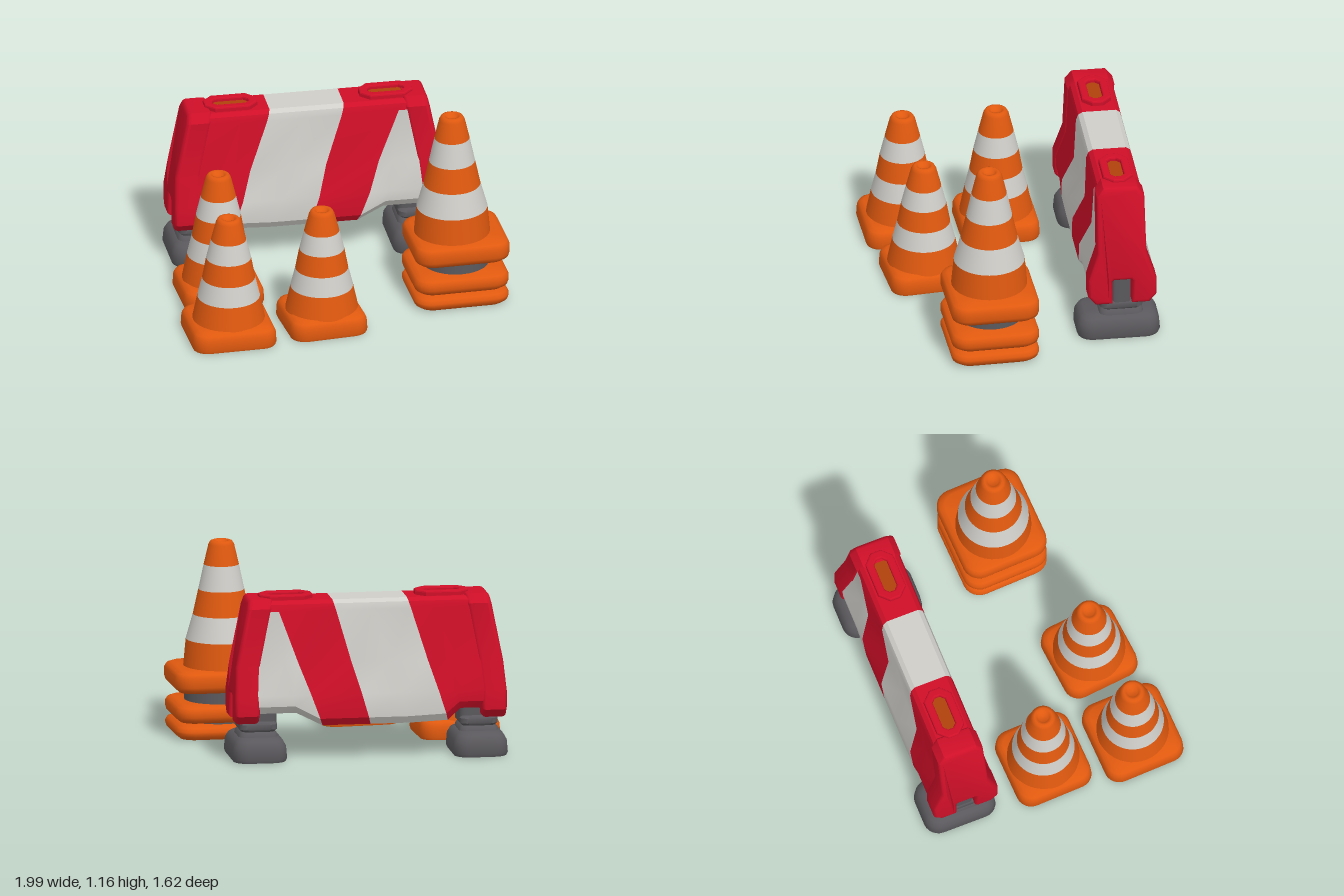
import * as THREE from 'three';
import { toCreasedNormals } from 'three/addons/utils/BufferGeometryUtils.js';

const paint = (name, color) => {
  const m = new THREE.MeshStandardMaterial({ color });
  m.name = name;
  return m;
};

function fromTriangles(tris, crease = 0.6) {
  const g = new THREE.BufferGeometry();
  g.setAttribute('position', new THREE.Float32BufferAttribute(tris.flat(2), 3));
  return toCreasedNormals(g, crease);
}

// Rounded rectangular block; levels are [height, inset] from bottom to top
function slab(w, d, r, levels) {
  const loops = levels.map(([y, inset]) => {
    const loop = [];
    const rr = Math.max(r - inset * 0.5, 0.01);
    for (let c = 0; c < 4; c++) {
      const sx = c === 0 || c === 3 ? 1 : -1, sz = c < 2 ? -1 : 1;
      for (let k = 0; k <= 6; k++) {
        const a = (c + k / 6) * Math.PI / 2;
        loop.push([
          sx * (w / 2 - inset - rr) + rr * Math.cos(a), y,
          sz * (d / 2 - inset - rr) - rr * Math.sin(a)]);
      }
    }
    return loop;
  });
  const tris = [], n = loops[0].length, top = loops.at(-1), low = loops[0];
  for (let i = 0; i < n; i++) {
    const j = (i + 1) % n;
    for (let l = 0; l + 1 < loops.length; l++) {
      const p = loops[l], q = loops[l + 1];
      tris.push([p[i], p[j], q[j]], [p[i], q[j], q[i]]);
    }
    tris.push([[0, top[0][1], 0], top[i], top[j]], [[0, low[0][1], 0], low[j], low[i]]);
  }
  return fromTriangles(tris, 0.8);
}

export function createModel() {
  const orange = paint('orange', 0xe0590f);
  const white = paint('offWhite', 0xd0cec9);
  const red = paint('red', 0xcf0f28);
  const grey = paint('darkGrey', 0x5a585c);
  const rust = paint('rustOrange', 0xb0420c);

  const model = new THREE.Group();
  const add = (parent, name, geometry, material, x = 0, y = 0, z = 0) => {
    const mesh = new THREE.Mesh(geometry, material);
    mesh.name = name;
    mesh.position.set(x, y, z);
    parent.add(mesh);
    return mesh;
  };
  const group = (name, x, z, turn = 0) => {
    const g = new THREE.Group();
    g.name = name;
    g.position.set(x, 0, z);
    g.rotation.y = turn;
    model.add(g);
    return g;
  };

  // Striped cone: rings are [radius, height] at each colour change
  function coneBody(parent, rings, x = 0) {
    for (let i = 0; i + 1 < rings.length; i++) {
      const [r0, y0] = rings[i], [r1, y1] = rings[i + 1];
      let pts = [[r0, y0], [r1, y1]];
      if (i === rings.length - 2) { // rounded tip with a dimple
        pts = [[r0, y0], [r1 + 0.003, y1 - 0.025], [r1 - 0.008, y1 - 0.005], [r1 - 0.02, y1],
          [0.038, y1 - 0.003], [0.028, y1 - 0.02], [0, y1 - 0.022]];
      }
      const geo = new THREE.LatheGeometry(pts.map(p => new THREE.Vector2(...p)), 40);
      add(parent, 'coneBand' + (i + 1), geo, i % 2 ? white : orange, x);
    }
  }

  // Single cones: x, z, width, depth, height, turn
  [[-0.685, -0.005, 0.49, 0.475, 0.79, 0], [-0.745, 0.55, 0.51, 0.5, 0.77, 0],
    [-0.17, 0.52, 0.475, 0.475, 0.75, 0.06]].forEach(([x, z, w, d, h, turn], i) => {
    const cone = group('trafficCone' + (i + 1), x, z, turn);
    add(cone, 'coneBase', slab(w, d, 0.09,
      [[0, 0.005], [0.015, 0], [0.08, 0.004], [0.105, 0.016], [0.118, 0.04]]), orange);
    const k = h / 0.77;
    coneBody(cone, [[0.22, 0.1], [0.187, 0.26 * k], [0.158, 0.38 * k],
      [0.134, 0.51 * k], [0.105, 0.63 * k], [0.073, h]]);
  });

  // Stacked cones
  const stack = group('stackedCones', 0.7, 0.27);
  [[0, 0.085, 0], [0.1, 0.205, 0], [0.28, 0.41, 0.005]].forEach(([y0, y1, x], i) => {
    add(stack, 'stackBase' + (i + 1), slab(0.575, 0.53, 0.1,
      [[y0, 0.03], [y0 + 0.02, 0.006], [y0 + 0.04, 0], [y1 - 0.035, 0], [y1 - 0.012, 0.012],
        [y1, 0.04]]), orange, x);
  });
  add(stack, 'stackCore', new THREE.CylinderGeometry(0.2, 0.205, 0.24, 32), grey, 0, 0.18);
  coneBody(stack, [[0.228, 0.4], [0.212, 0.57], [0.17, 0.72], [0.137, 0.87],
    [0.105, 1.02], [0.074, 1.165]], -0.02);

  // Barrier body: slanted cross-sections, one at each stripe boundary
  const barrier = group('barrier', -0.04, -0.55, -0.035);
  const section = (xb, xt, yb, waist) => {
    const half = [[0.165, yb], [0.197, yb + 0.045], [0.2, 0.4], [0.14 * waist, 0.58],
      [0.137, 0.9], [0.125, 0.94], [0.1, 0.96]];
    const loop = [...half, ...half.map(([z, y]) => [-z, y]).reverse()];
    return loop.map(([z, y]) => [xb + (xt - xb) * (y - 0.21) / 0.75, y, z]);
  };
  // bottom x, top x, underside height, waist, colour of the stretch that follows
  const cuts = [[-0.74, -0.66, 0.29, 1, red], [-0.56, -0.4, 0.29, 1, red],
    [-0.47, -0.23, 0.22, 0.97, white], [-0.24, 0, 0.21, 0.9, white], [0, 0.22, 0.21, 0.95, red],
    [0.29, 0.57, 0.21, 0.97, white], [0.43, 0.6, 0.29, 1, white], [0.7, 0.66, 0.29, 1, red]];
  const skin = new Map([[red, []], [white, []]]);
  for (let i = 0; i + 1 < cuts.length; i++) {
    const p = section(...cuts[i]), q = section(...cuts[i + 1]);
    for (let j = 0; j < p.length; j++) {
      const k = (j + 1) % p.length;
      const redRim = i >= 5 && j >= 4 && j <= 8;
      skin.get(redRim ? red : cuts[i][4]).push([p[j], q[j], q[k]], [p[j], q[k], p[k]]);
    }
  }
  add(barrier, 'barrierRedStripes', fromTriangles(skin.get(red), 0.5), red);
  add(barrier, 'barrierWhiteStripes', fromTriangles(skin.get(white), 0.5), white);

  // Notched end caps, leaning inward above the flare
  const right = [[0.083, 0.255], [0.15, 0.255], [0.18, 0.29], [0.18, 0.39],
    [0.122, 0.565], [0.118, 0.91], [0.09, 0.948]];
  const outline = [[0.083, 0.39], ...right, ...right.map(([z, y]) => [-z, y]).reverse(),
    [-0.083, 0.39], [-0.06, 0.415], [0.06, 0.415]];
  const capShape = new THREE.Shape(outline.map(p => new THREE.Vector2(...p)));
  const capBase = new THREE.ExtrudeGeometry(capShape, {
    depth: 0.1, bevelEnabled: true, bevelThickness: 0.025, bevelSize: 0.025, bevelSegments: 3 });
  capBase.translate(0, 0, 0.695);
  const pos = capBase.attributes.position;
  for (let i = 0; i < pos.count; i++) {
    pos.setZ(i, pos.getZ(i) - Math.max(0, pos.getY(i) - 0.5) * 0.2);
  }
  const capGeo = toCreasedNormals(capBase, 0.6);
  for (const side of [1, -1]) {
    add(barrier, side > 0 ? 'leftEndCap' : 'rightEndCap', capGeo, red)
      .rotation.y = side * Math.PI / 2;
  }

  // Raised lifting slots on top
  const octagon = (Type, w, d, c) => new Type([[w, -d + c], [w, d - c], [w - c, d], [-w + c, d],
    [-w, d - c], [-w, -d + c], [-w + c, -d], [w - c, -d]].map(p => new THREE.Vector2(...p)));
  const rim = octagon(THREE.Shape, 0.15, 0.078, 0.05);
  rim.holes.push(octagon(THREE.Path, 0.118, 0.05, 0.03));
  const rimGeo = new THREE.ExtrudeGeometry(rim, {
    depth: 0.035, bevelEnabled: true, bevelThickness: 0.01, bevelSize: 0.01, bevelSegments: 2 });
  rimGeo.rotateX(-Math.PI / 2);
  for (const x of [-0.45, 0.49]) {
    add(barrier, 'slotRim', rimGeo, red, x, 0.945, 0);
    add(barrier, 'slotFloor', new THREE.BoxGeometry(0.24, 0.008, 0.1), rust, x, 0.962, 0);
  }

  // Weighted feet: x, z, depth
  [[0.665, 0.017, 0.5], [-0.665, -0.017, 0.45]].forEach(([x, z, d], i) => {
    const name = i ? 'rightFoot' : 'leftFoot';
    add(barrier, name, slab(0.33, d, 0.09,
      [[0, 0.008], [0.02, 0], [0.09, 0.006], [0.125, 0.025], [0.14, 0.05]]), grey, x, 0, z);
    add(barrier, name + 'Collar', slab(0.24, 0.27, 0.05,
      [[0.13, 0], [0.16, 0.008], [0.17, 0.02], [0.185, 0.005], [0.215, 0.005], [0.23, 0.02]]),
    grey, x, 0, 0);
    add(barrier, name + 'Post', slab(0.22, 0.112, 0.02, [[0.2, 0], [0.39, 0]]), grey, x, 0, 0);
    add(barrier, name + 'Neck', slab(0.17, 0.2, 0.04, [[0.2, 0], [0.32, 0]]), grey,
      x - Math.sign(x) * 0.03, 0, 0);
  });

  return model;
}
